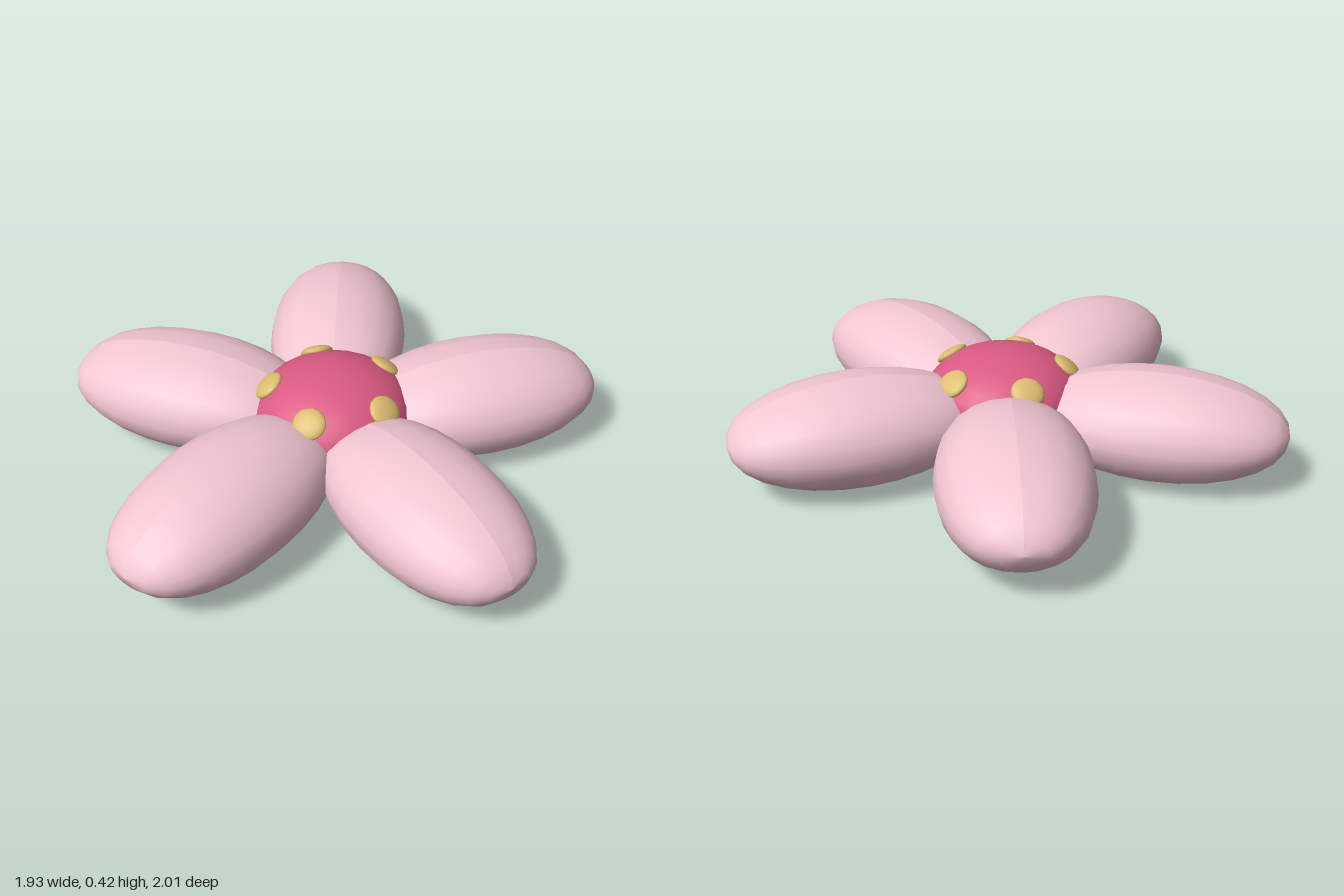
import * as THREE from 'three';

const PETALS = 5;
const CENTRE_X = -0.085;

function paint(color) {
  return new THREE.MeshStandardMaterial({ color });
}

// Long ellipsoid lying along x, blunter seen from above than from the side
function petalGeometry() {
  const length = 0.47, height = 0.197, width = 0.272;
  const geo = new THREE.SphereGeometry(1, 20, 14).rotateZ(-Math.PI / 2);
  const p = geo.attributes.position;
  for (let i = 0; i < p.count; i++) {
    const w = Math.max(Math.hypot(p.getY(i), p.getZ(i)), 1e-4);
    p.setXYZ(i, p.getX(i) * length, p.getY(i) * height, p.getZ(i) * width * Math.pow(w, -0.2));
  }
  geo.computeVertexNormals();
  return geo;
}

export function createModel() {
  const flower = new THREE.Group();
  flower.name = 'flower';
  flower.position.x = CENTRE_X;

  // Ring of petals, the first pointing along +x
  const petalGeo = petalGeometry();
  const petalMat = paint(0xf2c6d0);
  for (let i = 0; i < PETALS; i++) {
    const angle = (i * 2 * Math.PI) / PETALS;
    const petal = new THREE.Mesh(petalGeo, petalMat);
    petal.name = `petal${i + 1}`;
    petal.position.set(Math.cos(angle) * 0.57, 0.197, -Math.sin(angle) * 0.57);
    petal.rotation.y = angle;
    flower.add(petal);
  }

  // Domed heart of the flower
  const heart = new THREE.Mesh(
    new THREE.SphereGeometry(1, 24, 16).scale(0.295, 0.183, 0.295), paint(0xdb5a82));
  heart.name = 'heart';
  heart.position.set(0.008, 0.235, 0);
  flower.add(heart);

  // Flat spots set into the dome, tilted to follow its surface
  const spotGeo = new THREE.SphereGeometry(1, 16, 10).scale(0.06, 0.022, 0.062)
    .rotateZ(-0.66).translate(0.235, 0.345, 0);
  const spotMat = paint(0xdcbc70);
  for (let i = 0; i < PETALS; i++) {
    const spot = new THREE.Mesh(spotGeo, spotMat);
    spot.name = `spot${i + 1}`;
    spot.position.x = 0.008;
    spot.rotation.y = Math.PI / 2 + (i * 2 * Math.PI) / PETALS;
    flower.add(spot);
  }

  const model = new THREE.Group();
  model.name = 'flowerModel';
  model.add(flower);
  return model;
}
